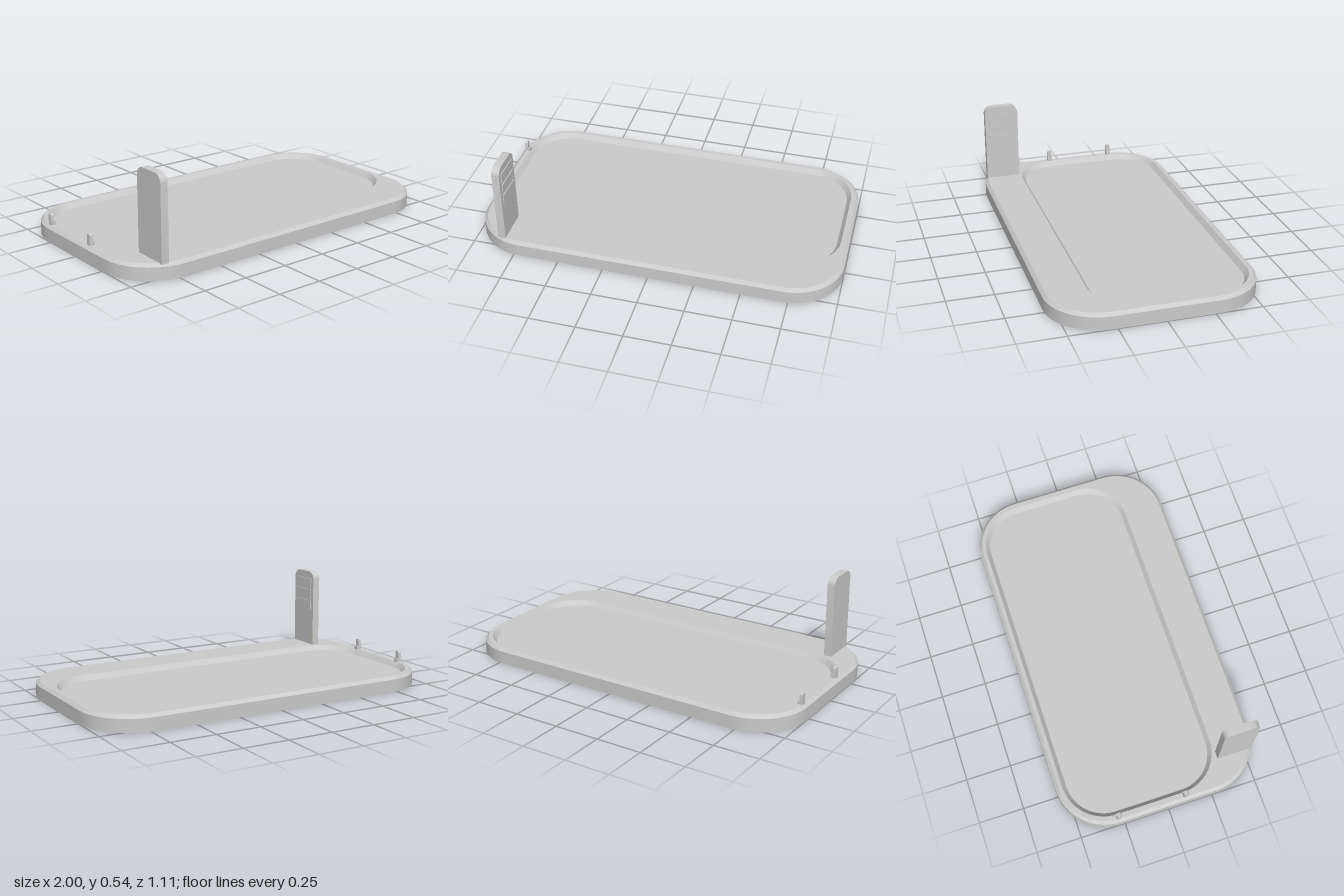
import * as THREE from 'three';
import { toCreasedNormals } from 'three/addons/utils/BufferGeometryUtils.js';

const material = new THREE.MeshStandardMaterial({ color: 0xcccccc });
const CORNER_STEPS = 14;

// Rounded rectangle at height y, counterclockwise seen from above
function ring(y, halfX, zBack, zFront, r) {
  const points = [];
  const corners = [[1, zBack + r], [-1, zBack + r], [-1, zFront - r], [1, zFront - r]];
  corners.forEach(([side, z], c) => {
    for (let i = 0; i <= CORNER_STEPS; i++) {
      const a = (c + i / CORNER_STEPS) * Math.PI / 2;
      points.push([side * (halfX - r) + r * Math.cos(a), y, z - r * Math.sin(a)]);
    }
  });
  return points;
}

// Skin successive rings and close both ends with a fan
function loft(rings) {
  const positions = [];
  const n = rings[0].length;
  const add = (...pts) => pts.forEach((p) => positions.push(...p));
  for (let i = 0; i < rings.length - 1; i++) {
    for (let j = 0; j < n; j++) {
      const k = (j + 1) % n;
      add(rings[i][j], rings[i][k], rings[i + 1][k]);
      add(rings[i][j], rings[i + 1][k], rings[i + 1][j]);
    }
  }
  const first = rings[0], last = rings[rings.length - 1];
  const centre = (r) => [0, r[0][1], (r[0][2] + r[2 * CORNER_STEPS + 2][2]) / 2];
  for (let j = 0; j < n; j++) {
    const k = (j + 1) % n;
    add(centre(first), first[k], first[j]);
    add(centre(last), last[j], last[k]);
  }
  const g = new THREE.BufferGeometry();
  g.setAttribute('position', new THREE.Float32BufferAttribute(positions, 3));
  return toCreasedNormals(g, 0.5);
}

// Upright plate with rounded top corners, facing +x from x0 to x1
function uprightPlate(x0, x1, width, y0, y1, r) {
  const h = width / 2;
  const s = new THREE.Shape();
  s.moveTo(-h, y0);
  s.lineTo(h, y0);
  s.lineTo(h, y1 - r);
  s.absarc(h - r, y1 - r, r, 0, Math.PI / 2, false);
  s.absarc(-h + r, y1 - r, r, Math.PI / 2, Math.PI, false);
  s.lineTo(-h, y0);
  const g = new THREE.ExtrudeGeometry(s, { depth: x1 - x0, bevelEnabled: false, curveSegments: 10 });
  g.rotateY(Math.PI / 2);
  g.translate(x0, 0, 0);
  return toCreasedNormals(g, 0.5);
}

export function createModel() {
  const model = new THREE.Group();
  const add = (parent, name, geometry, x = 0, y = 0, z = 0) => {
    const mesh = new THREE.Mesh(geometry, material);
    mesh.name = name;
    mesh.position.set(x, y, z);
    parent.add(mesh);
    return mesh;
  };

  // Tray: chamfered outer rim and sloped recess set towards the back
  const top = 0.088;
  add(model, 'tray', loft([
    ring(0, 1, -0.555, 0.555, 0.28),
    ring(0.071, 1, -0.555, 0.555, 0.28),
    ring(top, 0.983, -0.538, 0.538, 0.263),
    ring(top, 0.956, -0.517, 0.329, 0.235),
    ring(0.06, 0.934, -0.495, 0.307, 0.213),
  ]));

  // Upright panel with three raised slats on its inner face
  const tower = new THREE.Group();
  tower.name = 'uprightPanel';
  tower.position.z = 0.4325;
  model.add(tower);
  add(tower, 'panel', uprightPlate(-0.84, -0.798, 0.195, top - 0.005, 0.535, 0.045));
  for (let i = 0; i < 3; i++) {
    add(tower, 'slat', new THREE.BoxGeometry(0.008, 0.056, 0.15), -0.797, 0.33 + i * 0.068, 0);
  }

  // Two small hooks on the rim, each a round-topped tab with a low foot
  for (const z of [0.102, -0.277]) {
    const hook = new THREE.Group();
    hook.name = 'hook';
    hook.position.z = z;
    model.add(hook);
    add(hook, 'tab', uprightPlate(-0.984, -0.966, 0.026, top - 0.005, 0.149, 0.0129));
    add(hook, 'foot', new THREE.BoxGeometry(0.012, 0.02, 0.026), -0.961, 0.096, 0);
  }
  return model;
}
